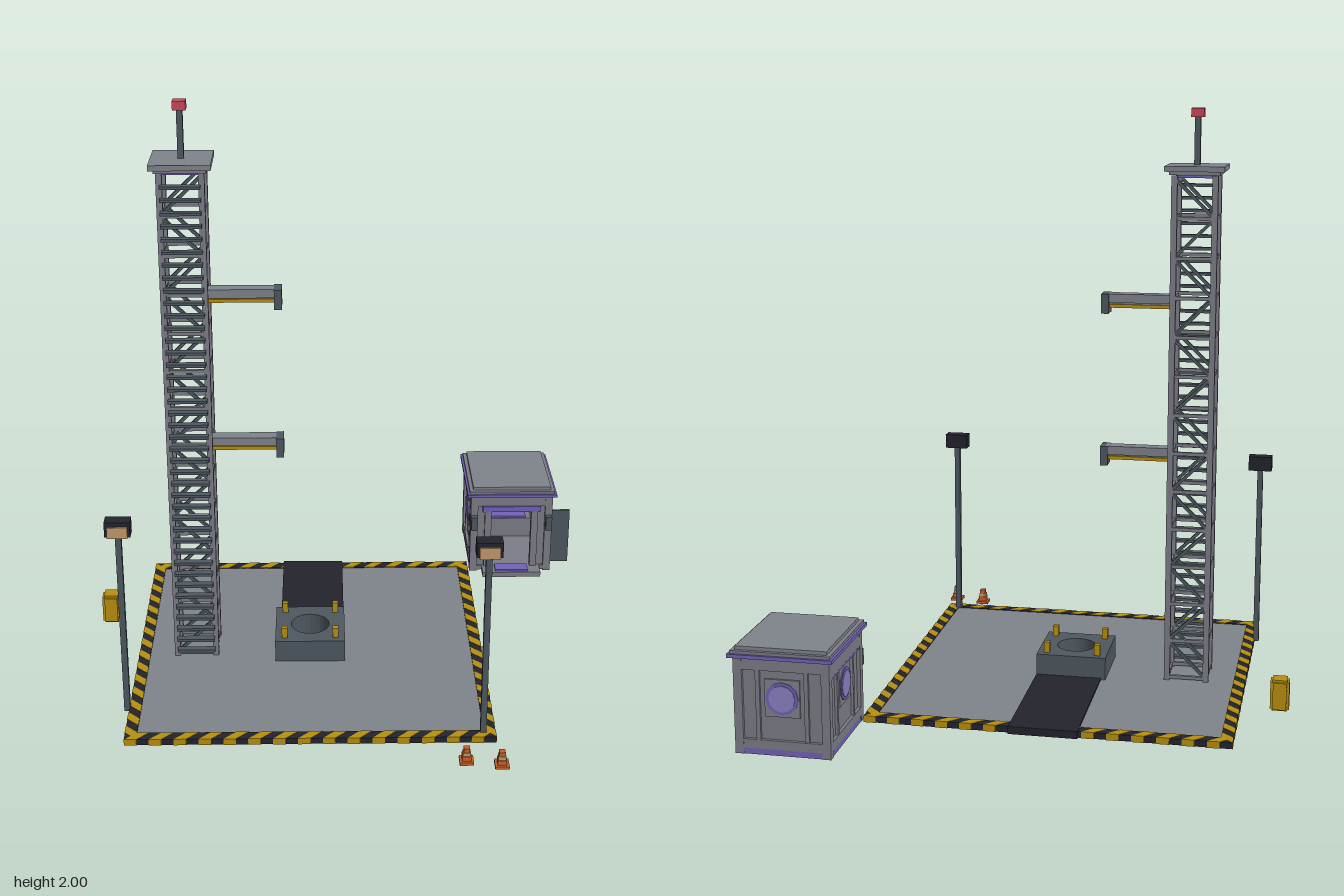
import * as THREE from 'three';

const mat = (name, color) => {
  const m = new THREE.MeshStandardMaterial({ color });
  m.name = name;
  m.flatShading = true;
  return m;
};

export function createModel() {
  const grey = mat('concrete grey', 0x7f838b);
  const steel = mat('steel', 0x7d7d88);
  const slate = mat('slate', 0x4e5860);
  const dark = mat('near black', 0x23232d);
  const yellow = mat('hazard yellow', 0xb8900f);
  const purple = mat('purple trim', 0x7262b8);
  const lilac = mat('lilac glass', 0x8c80c4);
  const red = mat('beacon red', 0xc94858);
  const tan = mat('lamp tan', 0xc49a6c);
  const orange = mat('cone orange', 0xc8602a);

  const root = new THREE.Group();
  const group = (name, parent = root) => {
    const g = new THREE.Group();
    g.name = name;
    parent.add(g);
    return g;
  };
  const mesh = (parent, name, geo, m) => {
    const o = new THREE.Mesh(geo, m);
    o.name = name;
    parent.add(o);
    return o;
  };
  // box from ranges on each axis
  const slab = (parent, name, m, x0, x1, y0, y1, z0, z1) => {
    const o = mesh(parent, name, new THREE.BoxGeometry(x1 - x0, y1 - y0, z1 - z0), m);
    o.position.set((x0 + x1) / 2, (y0 + y1) / 2, (z0 + z1) / 2);
    return o;
  };
  // box standing at (x, z) with base y0
  const post = (parent, name, m, x, z, w, d, y0, y1) =>
    slab(parent, name, m, x - w / 2, x + w / 2, y0, y1, z - d / 2, z + d / 2);
  const polygon = (pts) => new THREE.Shape(pts.map(([x, y]) => new THREE.Vector2(x, y)));
  const extrude = (shape, depth) =>
    new THREE.ExtrudeGeometry(shape, { depth, bevelEnabled: false, curveSegments: 4 });

  // Pad with hazard border
  const pad = group('pad');
  pad.position.set(-0.12, 0, 0.09);
  const H = 0.61, B = 0.04, N = 15, P = (2 * H) / N;
  slab(pad, 'padSlab', grey, -H + B, H - B, 0.003, 0.02, -H + B, H - B);
  for (let s = 0; s < 4; s++) {
    const side = group('hazardBorder', pad);
    side.rotation.y = (s * Math.PI) / 2;
    slab(side, 'borderBase', dark, -H, H - B, 0.002, 0.023, H - B, H);
    for (let i = 0; i < N; i++) {
      const x = -H + i * P;
      const stripe = polygon([[x, -0.001], [x + P / 2, -0.001], [x + P / 2 + B, B], [x + B, B]]);
      const o = mesh(side, 'hazardStripe', extrude(stripe, 0.023), yellow);
      o.rotation.x = -Math.PI / 2;
      o.position.set(0, 0.001, H);
    }
  }

  // Exhaust trench and launch base with round opening
  slab(root, 'trench', dark, -0.23, 0, 0, 0.026, -0.5275, -0.03);
  const base = group('launchBase');
  base.position.set(-0.1225, 0, 0.09);
  const S = 0.123;
  const square = polygon([[-S, -S], [S, -S], [S, S], [-S, S]]);
  const hole = new THREE.Path();
  hole.absarc(0, 0, 0.068, 0, Math.PI * 2, true);
  square.holes.push(hole);
  const block = mesh(base, 'baseBlock',
    new THREE.ExtrudeGeometry(square, { depth: 0.1, bevelEnabled: false, curveSegments: 12 }), slate);
  block.rotation.x = -Math.PI / 2;
  for (const x of [-0.09, 0.09]) for (const z of [-0.09, 0.09])
    post(base, 'holdPin', yellow, x, z, 0.02, 0.02, 0.09, 0.138);

  // Service tower
  const tower = group('tower');
  tower.position.set(-0.525, 0, 0.09);
  const L = 0.068, BAY = 0.134, Y0 = 0.03;
  for (const x of [-L, L]) for (const z of [-L, L])
    post(tower, 'towerLeg', steel, x, z, 0.02, 0.02, 0, 1.78);
  for (let k = 0; k < 13; k++) {
    const y = Y0 + k * BAY;
    for (const s of [-L, L]) {
      post(tower, 'crossBar', steel, 0, s, 2 * L, 0.012, y - 0.006, y + 0.006);
      post(tower, 'sideBar', steel, s, 0, 0.012, 2 * L, y - 0.006, y + 0.006);
      const brace = mesh(tower, 'diagonalBrace',
        new THREE.BoxGeometry(Math.hypot(2 * L, BAY), 0.011, 0.011), slate);
      brace.position.set(0, y + BAY / 2, s);
      brace.rotation.z = Math.atan2(BAY, 2 * L) * (k % 2 ? -1 : 1);
    }
  }
  for (let i = 0; i < 40; i++) {
    const y = 0.05 + i * 0.0433;
    slab(tower, 'ladderRung', slate, -0.066, 0.066, y - 0.005, y + 0.005, 0.076, 0.102);
  }
  post(tower, 'capLining', purple, 0, 0, 0.13, 0.13, 1.772, 1.785);
  post(tower, 'capLower', steel, 0, 0, 0.17, 0.17, 1.782, 1.796);
  post(tower, 'capPlate', grey, 0, 0, 0.2, 0.2, 1.794, 1.812);
  post(tower, 'mast', slate, 0, 0, 0.02, 0.02, 1.81, 1.975);
  post(tower, 'beacon', red, 0, 0, 0.043, 0.043, 1.97, 2);

  // Swing arms
  for (const y of [0.84, 1.373]) {
    const arm = group('serviceArm');
    slab(arm, 'armBeam', grey, -0.46, -0.225, y - 0.03, y, 0.067, 0.115);
    slab(arm, 'armStripe', yellow, -0.45, -0.225, y - 0.049, y - 0.037, 0.078, 0.104);
    slab(arm, 'armWeb', steel, -0.45, -0.225, y - 0.038, y - 0.029, 0.085, 0.097);
    slab(arm, 'armPad', slate, -0.233, -0.207, y - 0.068, y, 0.06, 0.127);
  }

  // Floodlights
  for (const [x, z] of [[-0.737, 0.507], [0.449, 0.665]]) {
    const lamp = group('floodlight');
    lamp.position.set(x, 0, z);
    post(lamp, 'lampPole', slate, 0, 0, 0.02, 0.02, 0.015, 0.69);
    post(lamp, 'lampHead', dark, 0, 0, 0.084, 0.046, 0.675, 0.727);
    slab(lamp, 'lampLens', tan, -0.033, 0.033, 0.673, 0.712, 0.02, 0.03);
  }

  // Fuel canister
  const can = group('canister');
  can.position.set(-0.859, 0, -0.132);
  post(can, 'canBodyA', yellow, 0, 0, 0.064, 0.046, 0.005, 0.1);
  post(can, 'canBodyB', yellow, 0, 0, 0.046, 0.064, 0.005, 0.1);
  post(can, 'canCore', yellow, 0, 0, 0.05, 0.05, 0, 0.108);

  // Traffic cones
  for (const [x, z] of [[0.383, 0.805], [0.495, 0.828]]) {
    const cone = group('trafficCone');
    cone.position.set(x, 0, z);
    post(cone, 'coneFoot', orange, 0, 0, 0.046, 0.046, 0, 0.01);
    post(cone, 'coneBody', orange, 0, 0, 0.03, 0.03, 0.008, 0.028);
    post(cone, 'coneBand', tan, 0, 0, 0.025, 0.025, 0.027, 0.04);
    post(cone, 'coneTip', orange, 0, 0, 0.02, 0.02, 0.039, 0.055);
  }

  // Control cabin, centred on its own origin with the door facing +z
  const cabin = group('cabin');
  cabin.position.set(0.657, 0, -0.665);
  const W = 0.158, D = 0.177;
  post(cabin, 'floor', steel, 0, 0, 2 * W - 0.01, 2 * D - 0.01, 0.003, 0.02);
  for (const s of [-1, 1]) {
    post(cabin, 'sillSide', purple, s * (W - 0.01), 0, 0.016, 2 * D - 0.04, 0, 0.022);
    post(cabin, 'topBeamSide', steel, s * (W - 0.008), 0, 0.014, 2 * D - 0.04, 0.262, 0.325);
    post(cabin, 'baseBeamSide', steel, s * (W - 0.008), 0, 0.014, 2 * D - 0.04, 0.02, 0.05);
    post(cabin, 'purpleBandSide', purple, s * (W - 0.008), 0, 0.0145, 2 * D - 0.05, 0.256, 0.263);
    post(cabin, 'topBeam', steel, 0, s * (D - 0.008), 2 * W - 0.04, 0.014, 0.28, 0.325);
    for (const t of [-1, 1]) {
      post(cabin, 'cornerPost', steel, s * (W - 0.014), t * (D - 0.014), 0.028, 0.028, 0, 0.325);
      post(cabin, 'sideRib', steel, s * (W - 0.01), t * 0.085, 0.014, 0.014, 0.04, 0.27);
    }
    post(cabin, 'wallBox', slate, s * 0.144, D + 0.01, 0.024, 0.022, 0.185, 0.24);
  }
  post(cabin, 'sillBack', purple, 0, -(D - 0.01), 2 * W - 0.04, 0.016, 0, 0.022);
  post(cabin, 'baseBeamBack', steel, 0, -(D - 0.008), 2 * W - 0.04, 0.014, 0.02, 0.05);
  for (const t of [-1, 1])
    post(cabin, 'backRib', steel, t * 0.08, -(D - 0.01), 0.014, 0.014, 0.04, 0.29);

  // Walls with round windows on both sides and at the back
  const windowWall = (turn, half, dist) => {
    const wall = group('windowWall', cabin);
    wall.rotation.y = turn;
    slab(wall, 'wallPanel', steel, -half, half, 0.015, 0.325, dist - 0.026, dist - 0.012);
    slab(wall, 'windowMount', grey, -0.058, 0.058, 0.128, 0.252, dist - 0.014, dist - 0.006);
    for (const [name, r, t, m] of [['windowRing', 0.054, 0.028, purple], ['windowGlass', 0.044, 0.034, lilac]]) {
      const disc = mesh(wall, name, new THREE.CylinderGeometry(r, r, t, 12), m);
      disc.rotation.x = Math.PI / 2;
      disc.position.set(0, 0.19, dist - 0.017);
    }
  };
  windowWall(Math.PI / 2, D - 0.02, W);
  windowWall(-Math.PI / 2, D - 0.02, W);
  windowWall(Math.PI, W - 0.02, D);

  // Front wall with doorway, frame, open door and step
  const front = polygon([[-W + 0.02, 0.015], [-0.077, 0.015], [-0.077, 0.255], [0.077, 0.255],
    [0.077, 0.015], [W - 0.02, 0.015], [W - 0.02, 0.325], [-W + 0.02, 0.325]]);
  mesh(cabin, 'frontWall', extrude(front, 0.014), steel).position.z = D - 0.026;
  for (const s of [-1, 1])
    post(cabin, 'doorJamb', steel, s * 0.09, D - 0.008, 0.026, 0.016, 0.015, 0.262);
  slab(cabin, 'doorLintel', purple, -0.112, 0.112, 0.255, 0.278, D - 0.02, D + 0.001);
  slab(cabin, 'openDoor', slate, W, 0.233, 0.015, 0.236, 0.117, 0.129);
  slab(cabin, 'step', steel, -0.11, 0.115, 0, 0.02, D - 0.01, 0.23);
  slab(cabin, 'stepTread', purple, -0.06, 0.067, 0.019, 0.027, D - 0.005, 0.22);
  slab(cabin, 'desk', steel, -0.11, 0.11, 0.02, 0.1, -0.145, -0.08);
  slab(cabin, 'deskPanel', purple, -0.09, 0.09, 0.098, 0.107, -0.14, -0.085);

  // Roof
  post(cabin, 'roofRim', purple, 0, -0.002, 0.344, 0.384, 0.322, 0.334);
  post(cabin, 'roofSlab', steel, 0, -0.002, 0.328, 0.368, 0.333, 0.344);
  post(cabin, 'roofTop', grey, 0, -0.004, 0.3, 0.34, 0.343, 0.356);

  return root;
}
